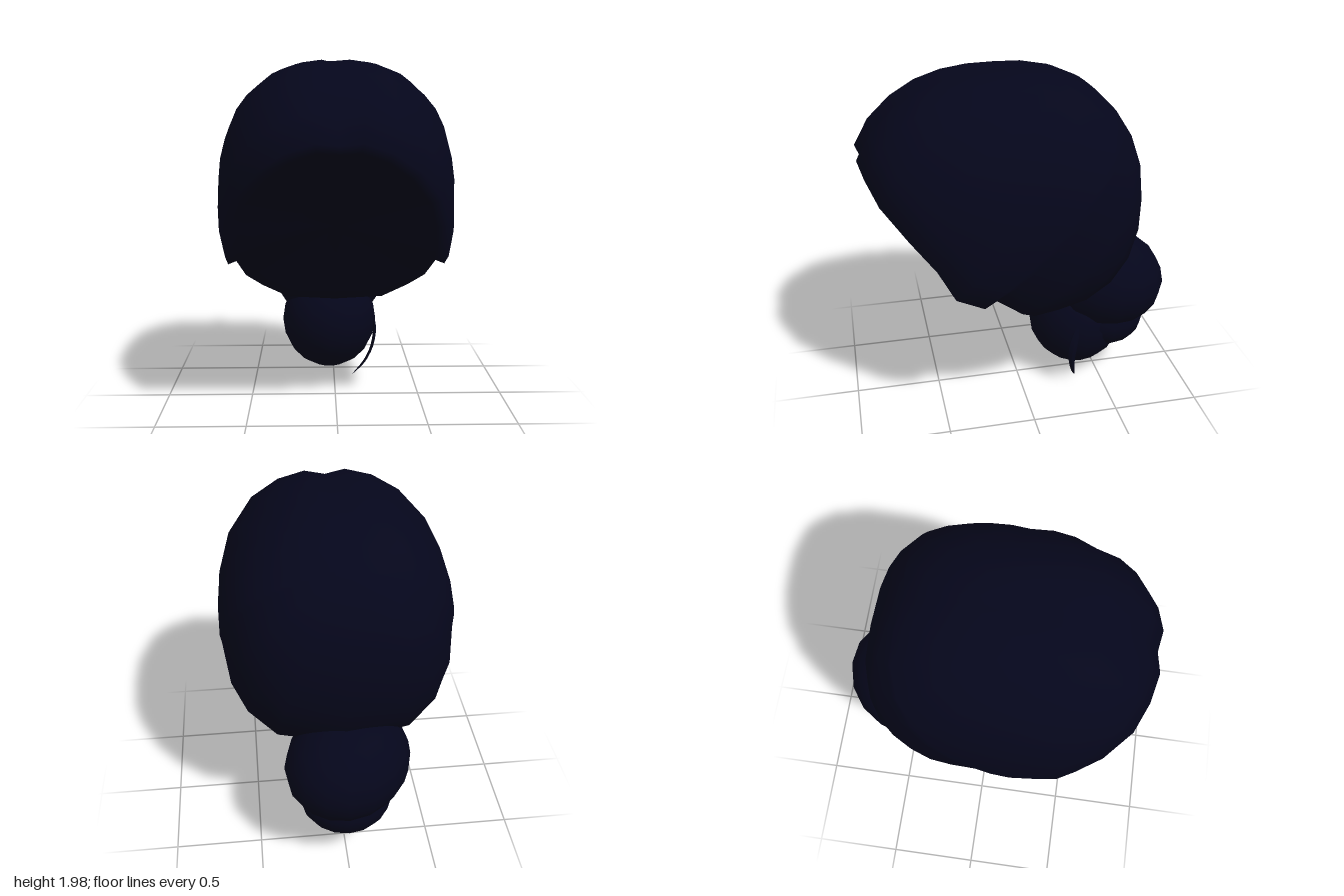
import * as THREE from 'three';

const hairMaterial = new THREE.MeshStandardMaterial({ color: 0x05061b });
hairMaterial.name = 'midnight hair';

// Left half of the hairline, from the forehead past the sideburn to the nape
const HALF_RIM = [
  [0, 1.57, 0.87], [0.12, 1.58, 0.89], [0.27, 1.53, 0.86], [0.41, 1.43, 0.8],
  [0.53, 1.28, 0.67], [0.585, 1.12, 0.54], [0.6, 0.95, 0.45], [0.6, 0.88, 0.3],
  [0.575, 0.905, 0.23], [0.52, 0.77, 0.08], [0.43, 0.69, -0.01], [0.28, 0.615, -0.03], [0, 0.575, -0.13],
];
const CENTER = new THREE.Vector3(0, 1.27, 0.1);
const CROWN = new THREE.Vector3(0, 0.72, -0.69).normalize();

// Distance from the centre to the rounded skull shape in a direction;
// the back is squarer than the front when seen from above
function skullRadius(dir) {
  const p = 2.35;
  const front = dir.z > 0;
  const q = front ? p : 2.85;
  const around = Math.abs(dir.x / 0.655) ** q + Math.abs(dir.z / (front ? 0.86 : 0.78)) ** q;
  return (around ** (p / q) + Math.abs(dir.y / 0.73) ** p) ** (-1 / p);
}

// Great-circle blend between two directions
function slerp(a, b, t) {
  const angle = a.angleTo(b);
  return a.clone().multiplyScalar(Math.sin((1 - t) * angle))
    .addScaledVector(b, Math.sin(t * angle)).normalize();
}

function capGeometry() {
  const half = HALF_RIM.map((p) => new THREE.Vector3(...p));
  const mirrored = half.slice(1, -1).reverse().map((p) => new THREE.Vector3(-p.x, p.y, p.z));
  const rim = [...half, ...mirrored];
  const n = rim.length;
  const outerRows = 10, innerRows = 4;
  const positions = [];
  const index = [];

  // Outer rings, from the crown down to the hairline
  for (let j = 0; j <= outerRows; j++) {
    const t = j / outerRows;
    rim.forEach((r, i) => {
      const offset = r.clone().sub(CENTER);
      const rimDir = offset.clone().normalize();
      const fit = offset.length() / skullRadius(rimDir);
      const dir = slerp(CROWN, rimDir, t);
      const parting = i === 0 && t > 0.3 && t < 1 ? 0.97 : 1;
      const radius = skullRadius(dir) * THREE.MathUtils.lerp(1, fit, t ** 4) * parting;
      positions.push(...dir.multiplyScalar(radius).add(CENTER).toArray());
    });
  }
  // Nearly flat underside, from the hairline to its middle
  const middle = new THREE.Vector3(0, 1.08, 0.38);
  for (let j = 1; j <= innerRows; j++) {
    const t = (j / innerRows) ** 1.6;
    for (const r of rim) {
      const p = r.clone().lerp(middle, t).addScaledVector(CROWN, 0.03 * (1 - (1 - t) ** 2));
      positions.push(...p.toArray());
    }
  }
  const last = outerRows + innerRows;
  for (let j = 0; j < last; j++) {
    for (let i = 0; i < n; i++) {
      const a = j * n + i, b = a + n;
      const d = j * n + (i + 1) % n, c = d + n;
      if (j < last - 1) index.push(a, b, c);
      else index.push(a, b, d);
      if (j > 0 && j < last - 1) index.push(a, c, d);
    }
  }
  // Each end ring shares one vertex
  const merged = index.map((k) => (k < n ? 0 : k >= last * n ? last * n : k));
  const geometry = new THREE.BufferGeometry();
  geometry.setAttribute('position', new THREE.Float32BufferAttribute(positions, 3));
  geometry.setIndex(merged);
  geometry.computeVertexNormals();
  return geometry;
}

// Thin tapering lock of hair, flattened sideways
function strandGeometry() {
  const path = new THREE.CatmullRomCurve3([
    new THREE.Vector3(0.23, 0.48, -0.34), new THREE.Vector3(0.255, 0.36, -0.3),
    new THREE.Vector3(0.245, 0.25, -0.29), new THREE.Vector3(0.2, 0.13, -0.31),
    new THREE.Vector3(0.115, 0.015, -0.35),
  ]);
  const segments = 12, sides = 6;
  const geometry = new THREE.TubeGeometry(path, segments, 0.04, sides);
  const pos = geometry.attributes.position;
  const v = new THREE.Vector3();
  for (let k = 0; k < pos.count; k++) {
    const t = Math.floor(k / (sides + 1)) / segments;
    const p = path.getPointAt(t);
    const taper = Math.min(1, 0.3 + t * 2) * (1 - t) ** 0.8;
    v.fromBufferAttribute(pos, k).sub(p).multiplyScalar(taper);
    v.x *= 0.35;
    v.add(p);
    pos.setXYZ(k, v.x, v.y, v.z);
  }
  geometry.computeVertexNormals();
  return geometry;
}

export function createModel() {
  const group = new THREE.Group();
  group.name = 'hairstyle';

  const add = (name, geometry) => {
    const mesh = new THREE.Mesh(geometry, hairMaterial);
    mesh.name = name;
    group.add(mesh);
    return mesh;
  };

  add('hairCap', capGeometry());

  // Gathered bun at the nape: name, centre, radii, turn about the vertical
  const lumps = [
    ['upperBun', [-0.015, 0.65, -0.535], [0.385, 0.305, 0.335], Math.PI / 4],
    ['lowerBun', [-0.03, 0.385, -0.38], [0.295, 0.305, 0.29], 0],
    ['smallBunCurl', [0, 0.41, -0.55], [0.265, 0.205, 0.25], 0],
  ];
  for (const [name, center, radii, turn] of lumps) {
    const bun = add(name, new THREE.SphereGeometry(1, 16, 10));
    bun.position.set(...center);
    bun.scale.set(...radii);
    bun.rotation.y = turn;
  }

  add('looseStrand', strandGeometry());
  return group;
}
